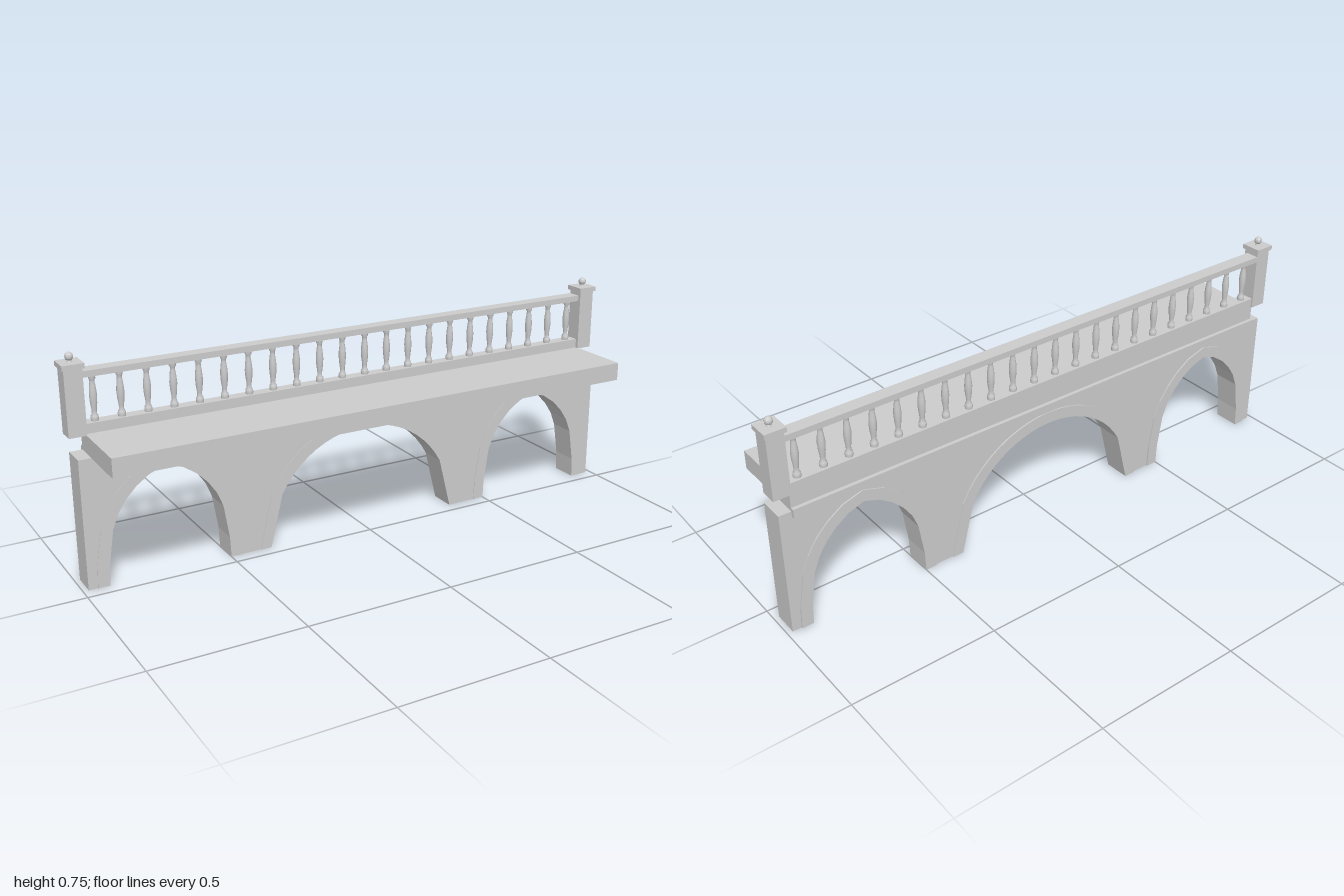
import * as THREE from 'three';

const material = new THREE.MeshStandardMaterial({ color: 0xcccccc, flatShading: true });
const smooth = new THREE.MeshStandardMaterial({ color: 0xcccccc });

function add(parent, name, geometry, x = 0, y = 0, z = 0, mat = material) {
  const mesh = new THREE.Mesh(geometry, mat);
  mesh.name = name;
  mesh.position.set(x, y, z);
  parent.add(mesh);
  return mesh;
}

// Box given by its limits on each axis
function block(parent, name, [x0, x1], [y0, y1], [z0, z1]) {
  return add(parent, name, new THREE.BoxGeometry(x1 - x0, y1 - y0, z1 - z0),
    (x0 + x1) / 2, (y0 + y1) / 2, (z0 + z1) / 2);
}

// Flat outline extruded between two z values
function slab(parent, name, points, z0, z1) {
  const shape = new THREE.Shape(points.map(([x, y]) => new THREE.Vector2(x, y)));
  const geometry = new THREE.ExtrudeGeometry(shape, { depth: z1 - z0, bevelEnabled: false });
  return add(parent, name, geometry, 0, 0, z0);
}

// Right half of an arch (base to crown), mirrored to a full left-to-right curve
function arch(half, cx) {
  const left = half.map(([x, y]) => [cx - x, y]);
  const right = half.slice(0, -1).reverse().map(([x, y]) => [cx + x, y]);
  return [...left, ...right];
}

// Curve moved outward by d along its normals
function offset(points, d) {
  return points.map((p, i) => {
    const a = points[Math.max(i - 1, 0)], b = points[Math.min(i + 1, points.length - 1)];
    const dx = b[0] - a[0], dy = b[1] - a[1], len = Math.hypot(dx, dy);
    const y = p[1] === 0 ? 0 : p[1] + (dx / len) * d;
    return [p[0] - (dy / len) * d, y];
  });
}

export function createModel() {
  const model = new THREE.Group();
  model.name = 'bridge';

  // Arch curves: round middle span, pointed side spans
  const middleHalf = [[0.355, 0]];
  const R = 0.352, start = Math.asin(0.167 / R);
  for (let i = 0; i <= 10; i++) {
    const t = start + (Math.PI / 2 - start) * i / 10;
    middleHalf.push([R * Math.cos(t), 0.013 + R * Math.sin(t)]);
  }
  const sideHalf = [[0.206, 0], [0.203, 0.07], [0.185, 0.185], [0.165, 0.235],
    [0.136, 0.278], [0.1, 0.315], [0.055, 0.346], [0, 0.365]];
  const arches = [arch(sideHalf, -0.706), arch(middleHalf, 0), arch(sideHalf, 0.706)];

  // Pierced wall with its four piers
  slab(model, 'archWall', [[-0.982, 0], ...arches.flat(), [0.982, 0], [0.982, 0.431], [-0.982, 0.431]],
    -0.131, -0.045);

  // Slightly proud rings around the openings
  arches.forEach((curve) => {
    slab(model, 'archRing', [...curve, ...offset(curve, 0.04).reverse()], -0.136, -0.043);
  });

  // Deck and back moulding
  block(model, 'deck', [-0.94, 0.94], [0.43, 0.493], [-0.131, 0.145]);
  block(model, 'moulding', [-0.94, 0.94], [0.413, 0.443], [-0.144, -0.13]);

  // Balustrade
  const balustrade = new THREE.Group();
  balustrade.name = 'balustrade';
  model.add(balustrade);
  block(balustrade, 'baseRail', [-0.94, 0.94], [0.492, 0.525], [-0.131, -0.09]);
  block(balustrade, 'topRail', [-0.94, 0.94], [0.67, 0.69], [-0.137, -0.09]);

  const profile = [[0.012, 0], [0.013, 0.008], [0.012, 0.016], [0.008, 0.022], [0.008, 0.034],
    [0.011, 0.056], [0.0125, 0.08], [0.011, 0.1], [0.008, 0.122], [0.008, 0.13],
    [0.011, 0.135], [0.011, 0.147]].map(([x, y]) => new THREE.Vector2(x, y));
  const balusterGeometry = new THREE.LatheGeometry(profile, 12);
  const count = 22;
  for (let i = 0; i < count; i++) {
    add(balustrade, 'baluster', balusterGeometry, -0.9 + 1.8 * i / (count - 1), 0.524, -0.111, smooth);
  }

  // End posts with caps and ball finials
  for (const side of [-1, 1]) {
    const post = new THREE.Group();
    post.name = side > 0 ? 'leftPost' : 'rightPost';
    post.position.set(side * 0.965, 0, -0.108);
    model.add(post);
    block(post, 'postShaft', [-0.029, 0.029], [0.491, 0.704], [-0.029, 0.029]);
    block(post, 'postCap', [-0.035, 0.035], [0.704, 0.72], [-0.036, 0.036]);
    add(post, 'finialNeck', new THREE.CylinderGeometry(0.006, 0.01, 0.01, 10), 0, 0.724, 0);
    add(post, 'finialBall', new THREE.SphereGeometry(0.0135, 10, 8), 0, 0.737, 0);
  }

  return model;
}
